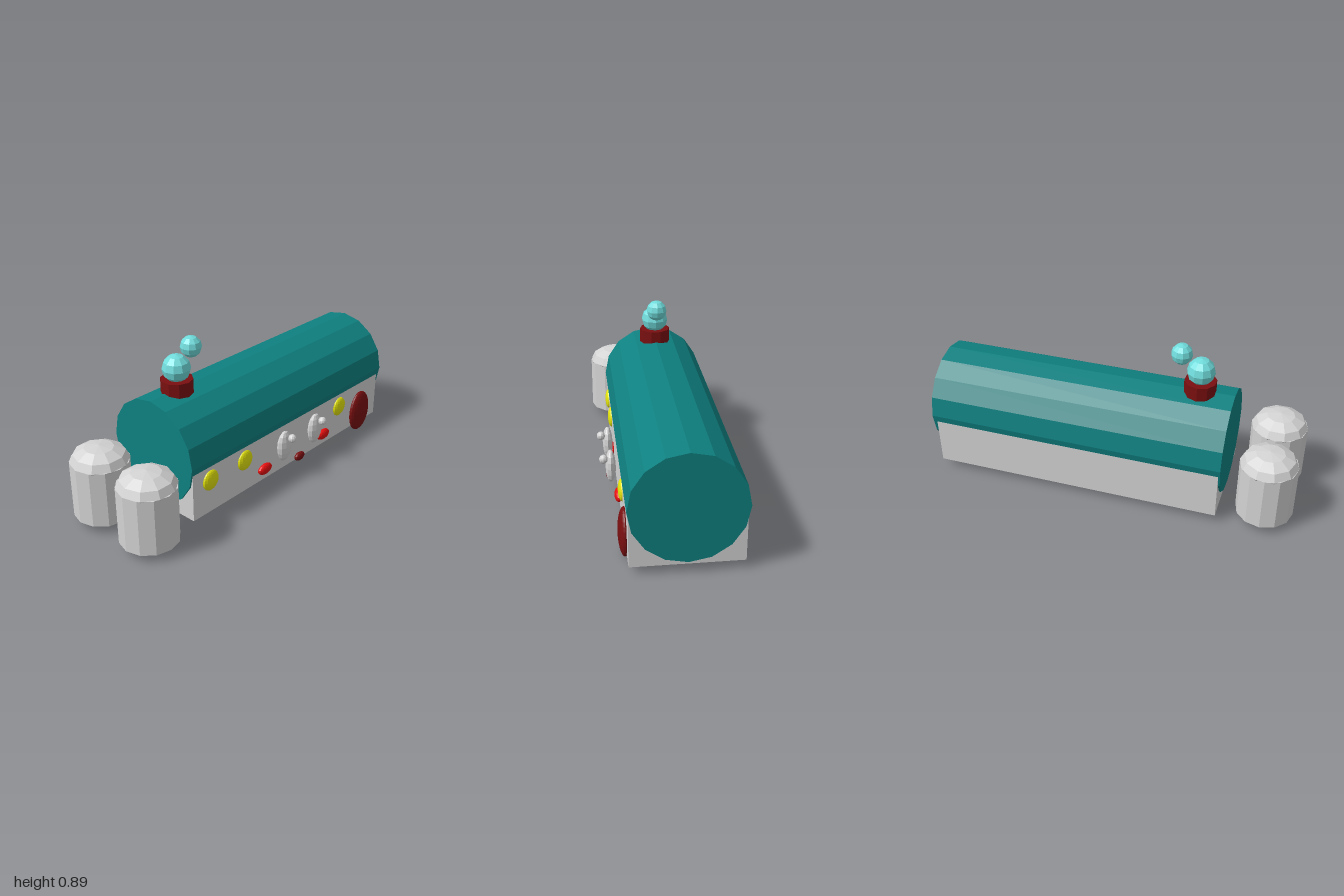
import * as THREE from 'three';

export function createModel() {
  const model = new THREE.Group();
  const material = (name, color) => {
    const m = new THREE.MeshStandardMaterial({ color, flatShading: true });
    m.name = name;
    return m;
  };
  const teal = material('teal', 0x0f8080);
  const grey = material('light grey', 0xd3d3d3);
  const maroon = material('dark red', 0x7a0f10);
  const red = material('red', 0xf01010);
  const yellow = material('yellow', 0xe4e40c);
  const aqua = material('pale aqua', 0x70dbdb);

  const add = (name, geometry, mat, x, y, z) => {
    const mesh = new THREE.Mesh(geometry, mat);
    mesh.name = name;
    mesh.position.set(x, y, z);
    model.add(mesh);
    return mesh;
  };
  // Faceted ellipsoid with separate radii
  const blob = (name, mat, [x, y, z], [rx, ry, rz], w = 10, h = 6) =>
    add(name, new THREE.SphereGeometry(1, w, h).scale(rx, ry, rz), mat, x, y, z);

  // Walls and barrel roof lying along x
  add('walls', new THREE.BoxGeometry(1.59, 0.305, 0.55), grey, 0.185, 0.1975, -0.04);
  add('roof', new THREE.CylinderGeometry(0.283, 0.283, 1.62, 16).rotateZ(Math.PI / 2),
    teal, 0.19, 0.35, -0.04);

  // Two domed silos beside the building
  for (const z of [0.168, -0.18]) {
    add('silo', new THREE.CylinderGeometry(0.153, 0.153, 0.305, 12), grey, -0.847, 0.1975, z);
    blob('siloDome', grey, [-0.847, 0.35, z], [0.153, 0.08, 0.153]);
  }

  // Chimney and smoke puffs
  add('chimney', new THREE.CylinderGeometry(0.085, 0.085, 0.095, 10), maroon, -0.435, 0.6475, -0.04);
  blob('lowerSmoke', aqua, [-0.435, 0.75, -0.04], [0.075, 0.075, 0.075]);
  blob('upperSmoke', aqua, [-0.33, 0.835, -0.04], [0.057, 0.057, 0.057]);

  // Round windows and oval door
  for (const x of [-0.485, -0.227, 0.6])
    blob('window', yellow, [x, 0.232, 0.235], [0.055, 0.057, 0.02], 14, 12);
  blob('door', maroon, [0.807, 0.127, 0.24], [0.092, 0.127, 0.032], 20, 16);

  // Face: eyes, pupils, cheeks and mouth
  for (const x of [0.053, 0.32]) {
    blob('eye', grey, [x, 0.214, 0.273], [0.053, 0.091, 0.028], 10, 8);
    blob('pupil', grey, [x + 0.02, 0.265, 0.31], [0.024, 0.024, 0.023], 10, 8);
  }
  for (const x of [-0.072, 0.445])
    blob('cheek', red, [x, 0.112, 0.242], [0.053, 0.031, 0.022], 14, 10);
  blob('mouth', maroon, [0.188, 0.09, 0.274], [0.04, 0.025, 0.018], 12, 8);

  return model;
}
